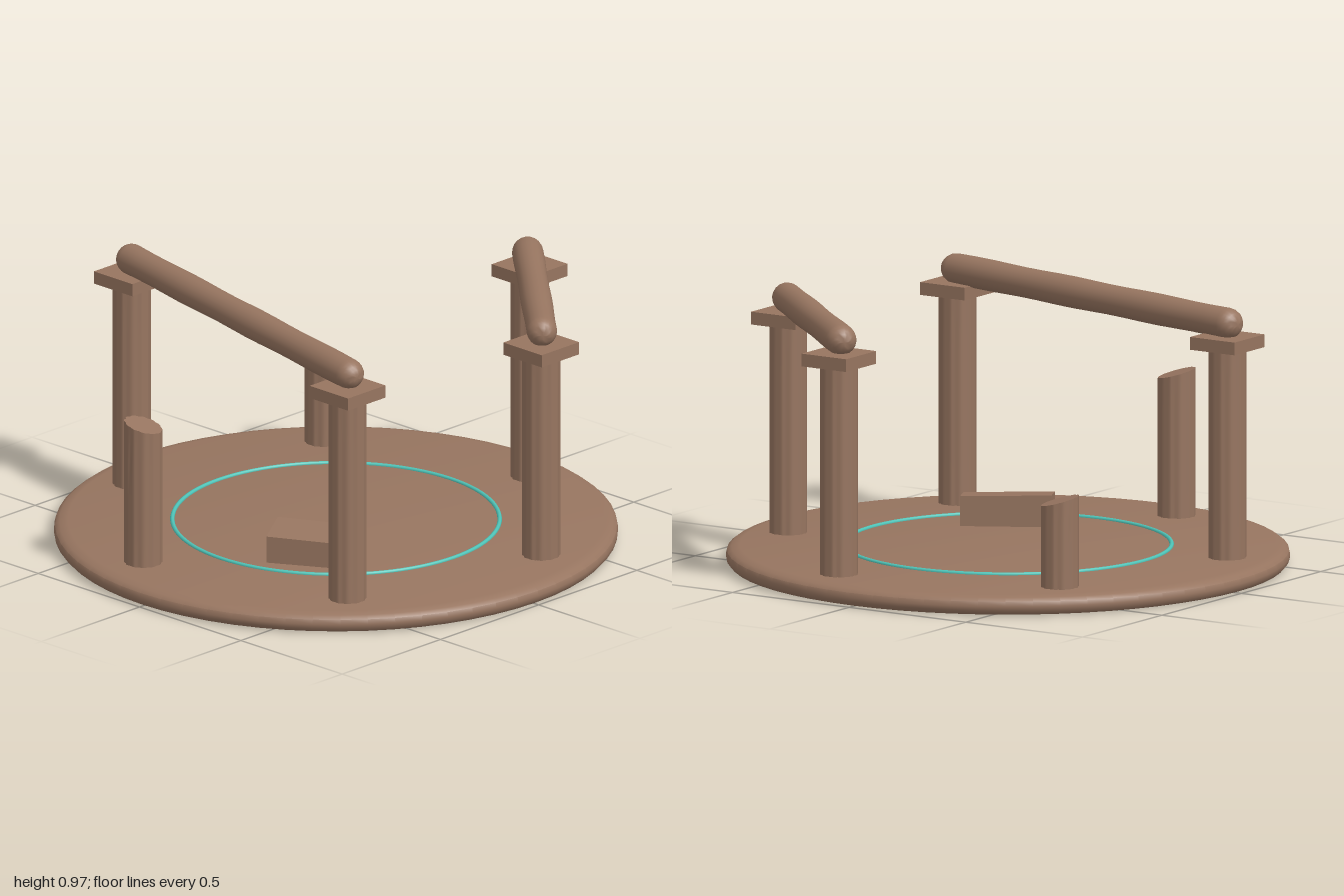
import * as THREE from 'three';
import { toCreasedNormals } from 'three/addons/utils/BufferGeometryUtils.js';

export function createModel() {
  const group = new THREE.Group();
  const stone = new THREE.MeshStandardMaterial({ color: 0x977560 });
  stone.name = 'weathered stone';
  const teal = new THREE.MeshStandardMaterial({ color: 0x4fc4b8 });
  teal.name = 'glowing teal';

  const FLOOR = 0.08;

  function add(name, geometry, material, x = 0, y = 0, z = 0) {
    const mesh = new THREE.Mesh(geometry, material);
    mesh.name = name;
    mesh.position.set(x, y, z);
    group.add(mesh);
    return mesh;
  }

  // Moves every vertex by a rule, then rebuilds the normals
  function reshape(geometry, rule, crease) {
    const pos = geometry.attributes.position;
    const v = new THREE.Vector3();
    for (let i = 0; i < pos.count; i++) {
      rule(v.fromBufferAttribute(pos, i));
      pos.setXYZ(i, v.x, v.y, v.z);
    }
    return toCreasedNormals(geometry, crease);
  }

  // Fluted shaft standing on the floor; a broken one has a slanted top
  function shaft(height, broken) {
    const geometry = new THREE.CylinderGeometry(0.068, 0.068, height, 60, 4);
    geometry.translate(0, height / 2, 0);
    return reshape(geometry, (v) => {
      const angle = Math.atan2(v.z, v.x);
      const flute = 0.94 + 0.06 * Math.abs(Math.sin(angle * 6));
      v.x *= flute;
      v.z *= flute;
      if (broken) v.y += (v.y / height) * (-0.25 * v.x + 0.12 * v.z);
    }, 0.6);
  }

  // Round platform with a worn, rounded rim
  const rim = [
    [0, 0.01], [0.965, 0.01], [0.985, 0.015], [0.998, 0.03], [1, 0.045],
    [0.996, 0.062], [0.98, 0.074], [0.95, FLOOR], [0, FLOOR],
  ].map(([x, y]) => new THREE.Vector2(x, y));
  add('platform', toCreasedNormals(new THREE.LatheGeometry(rim, 64), 0.7), stone);

  // Inlaid ring
  const ring = add('floorRing', new THREE.TorusGeometry(0.58, 0.008, 8, 96), teal, 0, 0.081, 0);
  ring.rotation.x = Math.PI / 2;

  // Standing columns with square capitals
  const columns = [[-0.78, 0.235], [0.595, 0.555], [0.18, -0.8], [0.775, -0.245]];
  for (const [x, z] of columns) {
    add('column', shaft(0.77, false), stone, x, FLOOR - 0.01, z);
    add('capital', new THREE.BoxGeometry(0.19, 0.046, 0.19), stone, x, 0.856, z);
  }

  // Broken columns
  add('tallStump', shaft(0.525, true), stone, -0.185, FLOOR - 0.01, 0.79);
  add('shortStump', shaft(0.32, true), stone, -0.6, FLOOR - 0.01, -0.555);

  // Rounded lintels, each resting on a pair of columns
  function lintel(name, a, b) {
    const start = new THREE.Vector3(a[0], 0.924, a[1]);
    const end = new THREE.Vector3(b[0], 0.924, b[1]);
    const dir = end.clone().sub(start);
    const geometry = reshape(new THREE.CapsuleGeometry(0.056, dir.length(), 6, 20, 16), (v) => {
      const wear = 0.98 + 0.025 * Math.sin(v.y * 14);
      v.x *= wear;
      v.z *= wear;
    }, 1);
    const mesh = add(name, geometry, stone);
    mesh.position.copy(start).add(end).multiplyScalar(0.5);
    mesh.quaternion.setFromUnitVectors(new THREE.Vector3(0, 1, 0), dir.normalize());
  }
  lintel('frontLintel', [-0.78, 0.235], [0.597, 0.551]);
  lintel('backLintel', [0.175, -0.795], [0.78, -0.243]);

  // Fallen block, its top sloping down towards the front
  const block = new THREE.BoxGeometry(0.325, 0.14, 0.165);
  block.translate(0, 0.07, 0);
  const fallen = add('fallenBlock', reshape(block, (v) => {
    if (v.y > 0.07) v.y -= 0.1 * v.z + 0.02 * v.x;
  }, 0.5), stone, 0.235, 0.043, 0.342);
  fallen.rotation.y = Math.PI / 6;

  return group;
}
